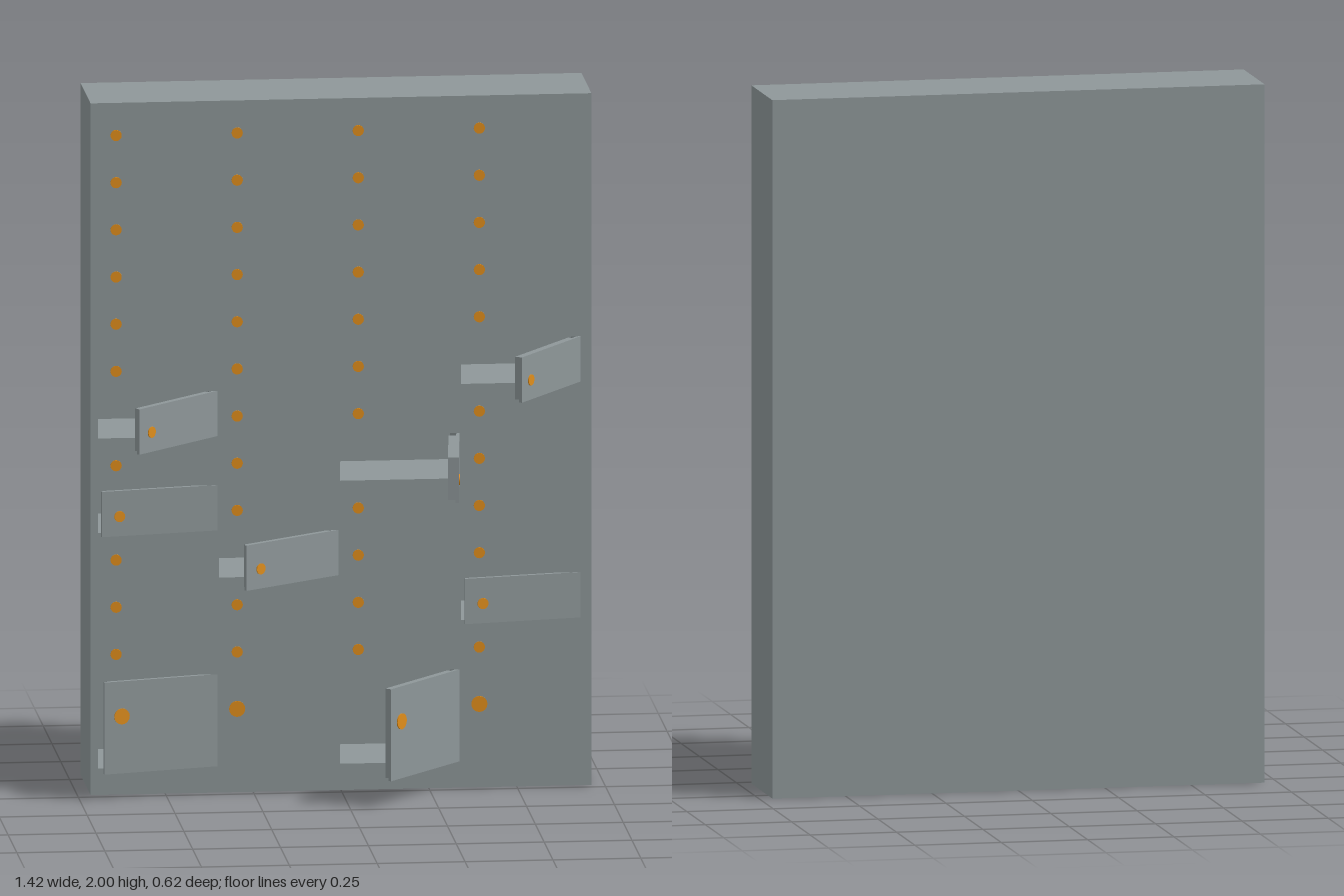
import * as THREE from 'three';

export function createModel() {
  const group = new THREE.Group();
  const steel = new THREE.MeshStandardMaterial({ color: 0x8e9799 });
  steel.name = 'grey steel';
  const orange = new THREE.MeshStandardMaterial({ color: 0xe08e1b });
  orange.name = 'orange lock';

  const add = (parent, name, geometry, material, x = 0, y = 0, z = 0) => {
    const mesh = new THREE.Mesh(geometry, material);
    mesh.name = name;
    mesh.position.set(x, y, z);
    parent.add(mesh);
    return mesh;
  };

  // Cabinet grid: four columns, twelve small rows and one tall bottom row
  const FRONT = -0.028, BACK = -0.312, BACK_PANEL = 0.014;
  const DOOR_W = 0.34, DOOR_H = 0.131, TALL_H = 0.266;
  const ROWS = 13;
  const left = (col) => -0.692 + col * 0.3445;
  const cell = (col, row) => {
    const tall = row === ROWS - 1;
    const h = tall ? TALL_H : DOOR_H;
    const y = tall ? 0.076 : 1.849 - row * 0.1364;
    return { x: left(col), y, h, lockY: tall ? 0.165 : 0.057, lockR: tall ? 0.023 : 0.016 };
  };

  // Opening angle in degrees for each open door, keyed by column and row
  const openDoors = {
    '3,5': 55, '0,6': 44, '2,7': 84, '0,8': 10.5,
    '1,9': 34.5, '3,10': 10.5, '2,12': 49.5, '0,12': 14.5,
  };

  // Carcass with a rectangular hole for every open compartment
  const face = new THREE.Shape();
  face.moveTo(-0.7125, 0).lineTo(0.7125, 0).lineTo(0.7125, 2).lineTo(-0.7125, 2).closePath();
  for (const key of Object.keys(openDoors)) {
    const { x, y, h } = cell(...key.split(',').map(Number));
    const hole = new THREE.Path();
    hole.moveTo(x, y).lineTo(x, y + h).lineTo(x + DOOR_W, y + h).lineTo(x + DOOR_W, y).closePath();
    face.holes.push(hole);
  }
  const carcass = new THREE.ExtrudeGeometry(face, {
    depth: FRONT - BACK - BACK_PANEL, bevelEnabled: false,
  });
  add(group, 'cabinet', carcass, steel, 0, 0, BACK + BACK_PANEL);
  add(group, 'backPanel', new THREE.BoxGeometry(1.425, 2, BACK_PANEL), steel,
    0, 1, BACK + BACK_PANEL / 2);

  // Round lock disc lying on a door face
  const addLock = (parent, x, y, z, r) => {
    const disc = new THREE.CylinderGeometry(r, r, 0.004, 16).rotateX(Math.PI / 2);
    add(parent, 'lock', disc, orange, x, y, z + 0.001);
  };

  // Door hinged on its right edge: outer plate with a smaller inner box
  const addDoor = (c, degrees) => {
    const door = new THREE.Group();
    door.name = 'openDoor';
    door.position.set(c.x + DOOR_W, c.y, FRONT);
    door.rotation.y = THREE.MathUtils.degToRad(degrees);
    add(door, 'doorPlate', new THREE.BoxGeometry(DOOR_W, c.h, 0.009), steel,
      -DOOR_W / 2, c.h / 2, -0.0045);
    add(door, 'doorInner', new THREE.BoxGeometry(DOOR_W - 0.034, c.h - 0.008, 0.022), steel,
      -DOOR_W / 2, c.h / 2, -0.02);
    addLock(door, -DOOR_W + 0.052, c.lockY, 0, c.lockR);
    group.add(door);
  };

  for (let col = 0; col < 4; col++) {
    for (let row = 0; row < ROWS; row++) {
      const c = cell(col, row);
      const degrees = openDoors[`${col},${row}`];
      if (degrees) addDoor(c, degrees);
      else addLock(group, c.x + 0.052, c.y + c.lockY, FRONT, c.lockR);
    }
  }
  return group;
}
